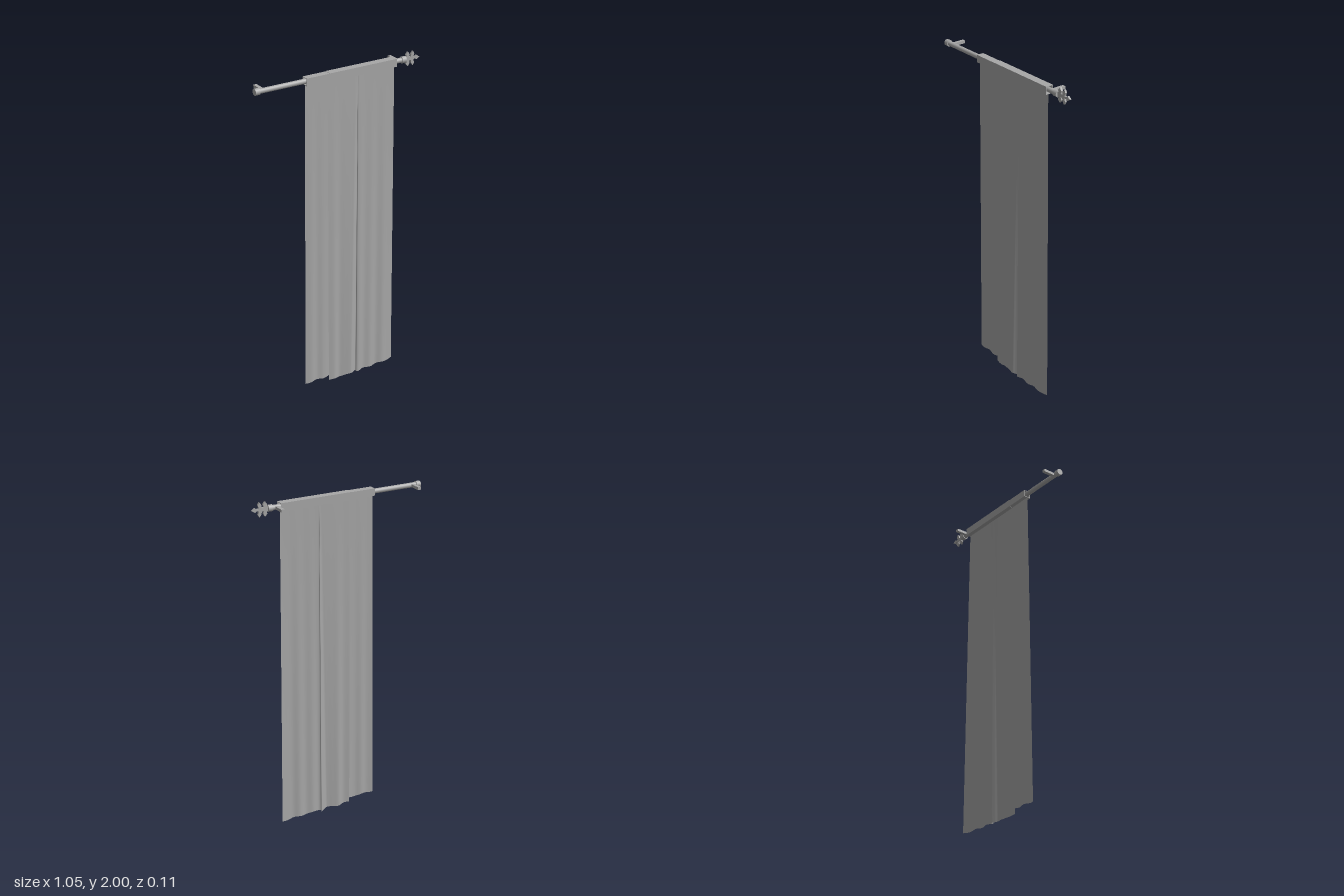
import * as THREE from 'three';

const ROD_Y = 1.957, ROD_Z = 0.028, TOP_Z = 0.032, TOP_Y = 1.936;

// Hanging cloth: each row blends from a flat top edge to a rippled hem.
// Control points: [x at top, x at hem, z at hem]
function clothGeometry(points, hemY, cols) {
  const rows = 24, positions = [], index = [];
  for (let r = 0; r <= rows; r++) {
    const t = r / rows;
    const curve = new THREE.CatmullRomCurve3(points.map(([xt, xb, zb]) => new THREE.Vector3(
      THREE.MathUtils.lerp(xt, xb, t), 0, THREE.MathUtils.lerp(TOP_Z, zb, Math.pow(t, 0.85)))));
    for (let c = 0; c <= cols; c++) {
      const p = curve.getPoint(c / cols);
      const hem = hemY + 0.006 * (0.5 - 0.5 * Math.cos(p.x * 55));
      positions.push(p.x, THREE.MathUtils.lerp(TOP_Y, hem, t), p.z);
      if (r < rows && c < cols) {
        const a = r * (cols + 1) + c, b = a + cols + 1;
        index.push(a, b, a + 1, b, b + 1, a + 1);
      }
    }
  }
  const geometry = new THREE.BufferGeometry();
  geometry.setAttribute('position', new THREE.Float32BufferAttribute(positions, 3));
  geometry.setIndex(index);
  geometry.computeVertexNormals();
  return geometry;
}

// Square sleeve open at both ends, running along x
function sleeveGeometry(length, half) {
  const square = (path, s) => path.moveTo(-s, -s).lineTo(s, -s).lineTo(s, s).lineTo(-s, s).closePath();
  const shape = new THREE.Shape();
  square(shape, half);
  const hole = new THREE.Path();
  square(hole, half - 0.003);
  shape.holes.push(hole);
  const geometry = new THREE.ExtrudeGeometry(shape, { depth: length, bevelEnabled: false });
  return geometry.rotateY(Math.PI / 2);
}

// Flat leafy finial, mirrored about its centre line
function finialGeometry() {
  const half = [[0.428, 0.012], [0.437, 0.016], [0.433, 0.026], [0.446, 0.042], [0.458, 0.026],
    [0.454, 0.010], [0.466, 0.010], [0.468, 0.026], [0.480, 0.042], [0.489, 0.026],
    [0.482, 0.007], [0.494, 0.005], [0.505, 0.013]];
  const outline = [...half.map(([x, y]) => [x, -y]), [0.525, 0], ...half.slice().reverse()];
  const shape = new THREE.Shape(outline.map(([x, y]) => new THREE.Vector2(x, y)));
  return new THREE.ExtrudeGeometry(shape, { depth: 0.012, bevelEnabled: false });
}

export function createModel() {
  const group = new THREE.Group();
  const grey = new THREE.MeshStandardMaterial({ color: 0xa8a8a8, side: THREE.DoubleSide });
  grey.name = 'grey';

  const add = (name, geometry, x = 0, y = 0, z = 0) => {
    const mesh = new THREE.Mesh(geometry, grey);
    mesh.name = name;
    mesh.position.set(x, y, z);
    group.add(mesh);
  };
  const bar = (name, x0, x1, radius) => add(name,
    new THREE.CylinderGeometry(radius, radius, x1 - x0, 16).rotateZ(Math.PI / 2),
    (x0 + x1) / 2, ROD_Y, ROD_Z);

  // Rod with end caps and finial
  bar('rod', -0.51, 0.41, 0.014);
  bar('rightCap', -0.527, -0.50, 0.019);
  bar('leftCap', 0.403, 0.43, 0.019);
  add('finial', finialGeometry(), 0, ROD_Y, ROD_Z - 0.006);

  // Wall brackets
  for (const [name, x] of [['rightBracket', -0.477], ['leftBracket', 0.379]]) {
    add(name, new THREE.BoxGeometry(0.02, 0.016, 0.075), x, ROD_Y, -0.0175);
  }

  // Cloth sleeves around the rod
  add('rightSleeve', sleeveGeometry(0.147, 0.0215), -0.222, ROD_Y, 0.029);
  add('leftSleeve', sleeveGeometry(0.437, 0.023), -0.077, ROD_Y, 0.029);

  // Narrow panel with the shorter hem
  add('rightPanel', clothGeometry([
    [-0.222, -0.243, 0.030], [-0.185, -0.20, 0.036], [-0.15, -0.16, 0.030],
    [-0.115, -0.12, 0.036], [-0.075, -0.078, 0.031],
  ], 0.032, 28), 0, 0, -0.001);

  // Wide panel with one deep pleat that folds under itself
  add('leftPanel', clothGeometry([
    [-0.08, -0.08, 0.034], [-0.04, -0.04, 0.040], [0.0, -0.005, 0.030], [0.04, 0.03, 0.036],
    [0.085, 0.062, 0.043], [0.104, 0.076, 0.044], [0.111, 0.098, 0.032], [0.115, 0.121, 0.022],
    [0.117, 0.115, 0.036], [0.135, 0.128, 0.042], [0.17, 0.17, 0.034], [0.21, 0.215, 0.040],
    [0.25, 0.26, 0.031], [0.29, 0.305, 0.039], [0.325, 0.345, 0.033], [0.355, 0.383, 0.026],
  ], 0, 90));

  return group;
}
